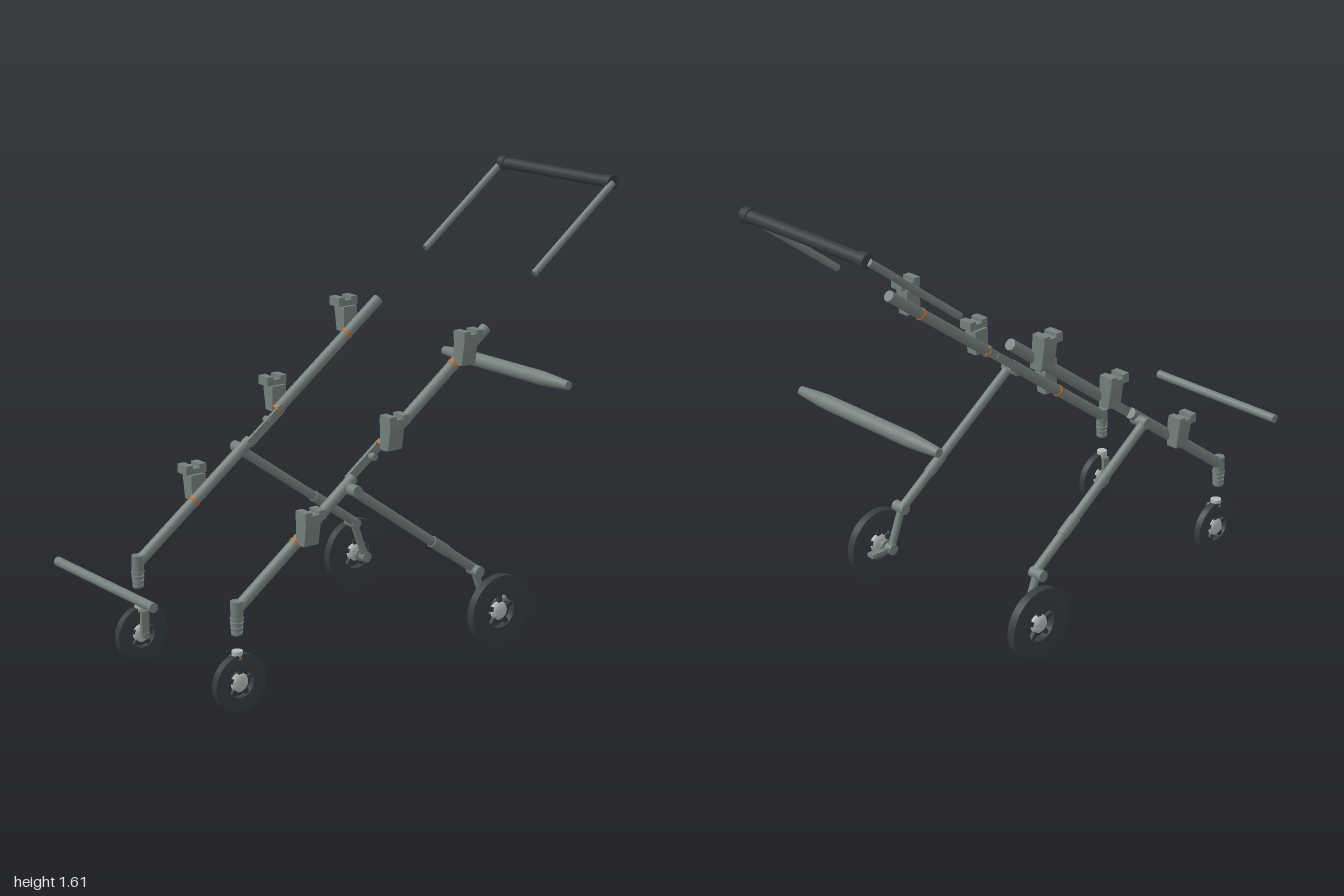
import * as THREE from 'three';
import { toCreasedNormals } from 'three/addons/utils/BufferGeometryUtils.js';

const mat = (name, color) => {
  const m = new THREE.MeshStandardMaterial({ color });
  m.name = name;
  return m;
};

export function createModel() {
  const steel = mat('grey steel', 0x747f7c);
  const rubber = mat('dark rubber', 0x363c40);
  const alloy = mat('light alloy', 0xb4b9b7);
  const orange = mat('orange clip', 0xb8682a);
  const model = new THREE.Group();
  model.name = 'pushchairFrame';

  const add = (name, geometry, material, pos = [0, 0, 0], parent = model) => {
    const m = new THREE.Mesh(geometry, material);
    m.name = name;
    m.position.set(...pos);
    parent.add(m);
    return m;
  };
  const box = (name, size, material, pos, parent) =>
    add(name, new THREE.BoxGeometry(...size), material, pos, parent);
  // Round rod between two points, r at a and r2 at b
  const rod = (name, a, b, r, material = steel, r2 = r, parent = model) => {
    const p = new THREE.Vector3(...a), q = new THREE.Vector3(...b);
    const d = q.clone().sub(p);
    const m = add(name, new THREE.CylinderGeometry(r2, r, d.length(), 20), material,
      p.clone().add(q).multiplyScalar(0.5).toArray(), parent);
    m.quaternion.setFromUnitVectors(new THREE.Vector3(0, 1, 0), d.normalize());
    return m;
  };
  // Turned part whose axis lies along z
  const turned = (name, points, material, parent) => {
    const g = new THREE.LatheGeometry(points.map(p => new THREE.Vector2(...p)), 40);
    g.rotateX(Math.PI / 2);
    return add(name, toCreasedNormals(g, 0.6), material, [0, 0, 0], parent);
  };

  // Wheel with tyre, domed hub and five spokes
  const wheel = (name, x, y, z, radius, w, inner, hubR) => {
    const g = new THREE.Group();
    g.name = name;
    g.position.set(x, y, z);
    model.add(g);
    const k = w * 0.75;
    turned('tyre', [[inner, -k], [radius * 0.95, -w], [radius, -w * 0.85],
      [radius, w * 0.85], [radius * 0.95, w], [inner, k], [inner, -k]], rubber, g);
    turned('hub', [[0, -w], [hubR * 0.5, -w * 0.9], [hubR * 0.85, -w * 0.6], [hubR, -w * 0.2],
      [hubR, w * 0.2], [hubR * 0.85, w * 0.6], [hubR * 0.5, w * 0.9], [0, w]], alloy, g);
    for (let i = 0; i < 5; i++) {
      const a = i * Math.PI * 2 / 5 + 0.3, mid = (hubR + inner) / 2;
      box('spoke', [inner - hubR + 0.012, 0.016, w * 0.8], rubber,
        [Math.cos(a) * mid, Math.sin(a) * mid, 0], g).rotation.z = a;
    }
  };

  // Seat socket: notched top plate over a tapering body
  const plateShape = new THREE.Shape([[-0.042, 0], [0.042, 0], [0.042, 0.032], [0.014, 0.032],
    [0.014, 0.02], [-0.014, 0.02], [-0.014, 0.032], [-0.042, 0.032]].map(p => new THREE.Vector2(...p)));
  const socket = (x, top, s) => {
    const g = new THREE.Group();
    g.name = 'seatSocket';
    g.position.set(x, top, 0);
    model.add(g);
    const plate = new THREE.ExtrudeGeometry(plateShape, { depth: 0.055, bevelEnabled: false });
    add('socketPlate', plate, steel, [0, -0.032, s > 0 ? 0.315 : -0.37], g);
    const body = new THREE.BoxGeometry(0.06, 0.09, 0.056);
    const p = body.attributes.position;
    for (let i = 0; i < p.count; i++) {
      if (p.getY(i) < 0 && p.getZ(i) * s > 0) p.setZ(i, p.getZ(i) - s * 0.014);
    }
    body.computeVertexNormals();
    add('socketBody', body, steel, [0, -0.077, s * 0.33], g);
  };

  // Height of the sloping rail at x
  const railY = x => 0.365 + (x + 0.66) * 0.745;

  for (const s of [1, -1]) {
    const rz = s * 0.293, lz = s * 0.334;
    // Sloping rail in two lengths with a thin hinge plate between
    rod('lowerRail', [-0.66, railY(-0.66), rz], [-0.19, railY(-0.19), rz], 0.02);
    rod('upperRail', [-0.075, railY(-0.075), rz], [0.385, railY(0.385), rz], 0.02);
    box('hingePlate', [0.18, 0.032, 0.012], steel, [-0.13, railY(-0.13), s * 0.28])
      .rotation.z = Math.atan(0.745);
    rod('hingePin', [-0.11, railY(-0.11), s * 0.27], [-0.11, railY(-0.11), s * 0.31], 0.012);

    // Sockets and their orange bands
    for (const [x, top, bx] of [[-0.403, 0.657, -0.43], [-0.053, 0.92, -0.07], [0.265, 1.163, 0.24]]) {
      socket(x, top, s);
      rod('railBand', [bx - 0.004, railY(bx - 0.004), rz], [bx + 0.004, railY(bx + 0.004), rz], 0.0222, orange);
    }

    // Front caster: elbow, ribbed spring, fork and wheel
    rod('casterElbow', [-0.668, 0.325, rz], [-0.668, 0.388, rz], 0.021);
    rod('springCore', [-0.668, 0.272, rz], [-0.668, 0.33, rz], 0.016);
    for (let i = 0; i < 4; i++) {
      const y = 0.275 + i * 0.016;
      rod('springRib', [-0.668, y, rz], [-0.668, y + 0.009, rz], 0.02 + i * 0.001);
    }
    rod('forkCap', [-0.665, 0.192, s * 0.288], [-0.665, 0.215, s * 0.288], 0.019, alloy);
    rod('forkBand', [-0.665, 0.188, s * 0.288], [-0.665, 0.194, s * 0.288], 0.02, orange);
    box('forkArm', [0.03, 0.095, 0.014], steel, [-0.662, 0.145, s * 0.266]);
    rod('frontAxle', [-0.66, 0.103, s * 0.256], [-0.66, 0.103, s * 0.3], 0.013);
    wheel('frontWheel', -0.66, 0.104, s * 0.292, 0.1, 0.015, 0.05, 0.033);

    // Rear leg with sleeve, pivot, knuckle and wheel
    rod('rearLeg', [-0.22, 0.685, lz], [0.31, 0.305, lz], 0.017);
    rod('legSleeve', [0.12, 0.441, lz], [0.185, 0.395, lz], 0.02);
    rod('legPivot', [-0.215, 0.685, s * 0.285], [-0.215, 0.685, s * 0.352], 0.02);
    rod('knuckle', [0.31, 0.3, s * 0.318], [0.31, 0.3, s * 0.372], 0.02);
    rod('axleArm', [0.31, 0.3, s * 0.34], [0.365, 0.157, s * 0.34], 0.014);
    rod('axleBoss', [0.365, 0.157, s * 0.325], [0.365, 0.157, s * 0.355], 0.02);
    rod('rearAxle', [0.365, 0.157, s * 0.35], [0.365, 0.157, s * 0.4], 0.012);
    rod('axleCollar', [0.365, 0.157, s * 0.362], [0.365, 0.157, s * 0.376], 0.024);
    wheel('rearWheel', 0.367, 0.157, s * 0.406, 0.131, 0.018, 0.06, 0.034);

    // Push handle arm and grip end
    rod('handleArm', [0.604, 1.304, rz], [0.968, 1.582, rz], 0.0125);
    rod('gripEnd', [0.97, 1.583, s * 0.262], [0.97, 1.583, s * 0.293], 0.026, rubber);
    // Tapered end of the bumper bar
    rod('bumperEnd', [0.74, 0.892, s * 0.21], [0.74, 0.892, s * 0.337], 0.026, steel, 0.016);
  }

  // Brake pedal on one rear wheel only
  box('brakeLever', [0.09, 0.012, 0.014], steel, [0.4, 0.162, 0.338]);
  box('brakePedal', [0.05, 0.014, 0.03], steel, [0.44, 0.165, 0.338]);

  // Cross bars
  rod('grip', [0.97, 1.583, -0.27], [0.97, 1.583, 0.27], 0.021, rubber);
  rod('bumperBar', [0.74, 0.892, -0.21], [0.74, 0.892, 0.21], 0.026);
  rod('footBar', [-0.984, 0.433, -0.29], [-0.984, 0.433, 0.29], 0.016);
  return model;
}
